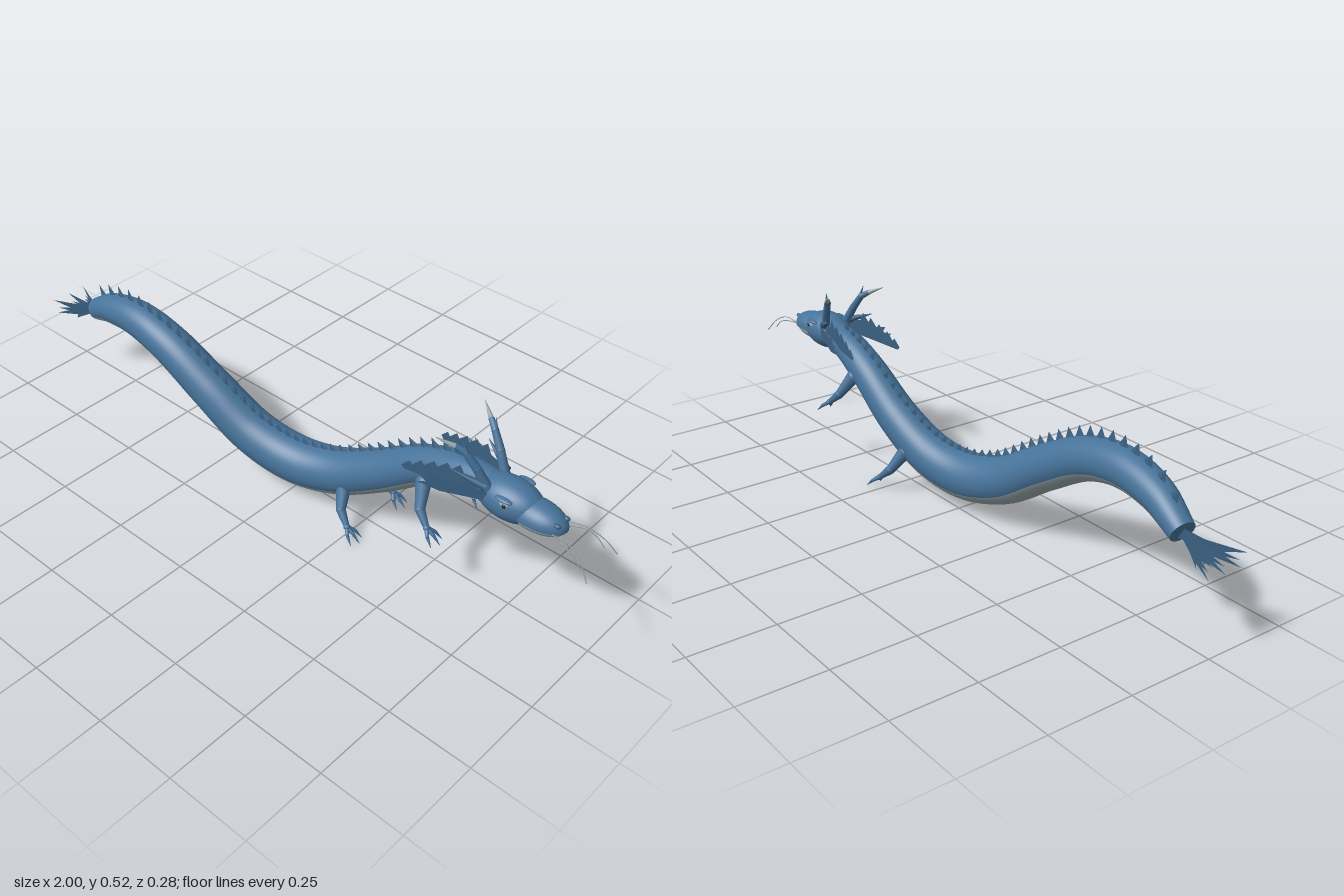
import * as THREE from 'three';

const mat = (name, color, side = THREE.FrontSide) => {
  const m = new THREE.MeshStandardMaterial({ color, side });
  m.name = name;
  return m;
};
const V = (x, y, z) => new THREE.Vector3(x, y, z);

export function createModel() {
  const root = new THREE.Group();
  root.name = 'seaSerpent';
  const blue = mat('scaleBlue', 0x47739a, THREE.DoubleSide);
  const finBlue = mat('finBlue', 0x3a6081, THREE.DoubleSide);
  const pale = mat('bellyGrey', 0x98a8ab, THREE.DoubleSide);
  const dark = mat('pupilDark', 0x16222c);

  const add = (name, geo, material, parent = root) => {
    const m = new THREE.Mesh(geo, material);
    m.name = name;
    parent.add(m);
    return m;
  };
  const ball = (name, material, c, r, parent, t0 = 0, tl = Math.PI) => {
    const m = add(name, new THREE.SphereGeometry(1, 32, 20, 0, Math.PI * 2, t0, tl), material, parent);
    m.position.set(...c);
    m.scale.set(...r);
    return m;
  };
  // Tapered round segment between two points
  const bone = (name, a, b, ra, rb, material, parent) => {
    const d = b.clone().sub(a);
    const m = add(name, new THREE.CylinderGeometry(rb, ra, d.length(), 10), material, parent);
    m.position.copy(a).addScaledVector(d, 0.5);
    m.quaternion.setFromUnitVectors(V(0, 1, 0), d.normalize());
    return m;
  };
  // Thin upright plate drawn in side view, bent sideways by a rule
  const plate = (name, pts, zOf, material, parent) => {
    const g = new THREE.ShapeGeometry(new THREE.Shape(pts.map(p => new THREE.Vector2(...p))));
    const p = g.attributes.position;
    for (let i = 0; i < p.count; i++) p.setZ(i, zOf(p.getX(i), p.getY(i)));
    g.computeVertexNormals();
    return add(name, g, material, parent);
  };

  // Body spine: x, y, z and radius
  const stations = [
    [-0.845, 0.265, 0.045, 0.036], [-0.74, 0.318, 0.062, 0.048], [-0.61, 0.341, 0.072, 0.056],
    [-0.47, 0.315, 0.076, 0.061], [-0.31, 0.232, 0.068, 0.066], [-0.15, 0.138, 0.05, 0.07],
    [0, 0.103, 0.027, 0.072], [0.14, 0.124, 0.004, 0.069], [0.29, 0.2, -0.014, 0.063],
    [0.44, 0.3, -0.019, 0.056], [0.56, 0.349, -0.013, 0.05], [0.68, 0.365, 0, 0.043]];
  const curve = new THREE.CatmullRomCurve3(stations.map(s => V(s[0], s[1], s[2])));
  const radii = new THREE.CatmullRomCurve3(stations.map(s => V(s[0], s[3], 0)));
  const frame = t => {
    const o = curve.getPoint(t), T = curve.getTangent(t);
    const side = T.clone().cross(V(0, 1, 0)).normalize();
    return { o, T, side, up: side.clone().cross(T), r: radii.getPoint(t).y };
  };
  // Sweep of an arc of the round section; angle 0 is the top
  const sweep = (name, a0, a1, cols, material) => {
    const rows = 110, pos = [], nor = [], idx = [];
    for (let i = 0; i <= rows; i++) {
      const f = frame(i / rows);
      for (let j = 0; j <= cols; j++) {
        const a = a0 + (a1 - a0) * j / cols;
        const n = f.up.clone().multiplyScalar(Math.cos(a)).addScaledVector(f.side, Math.sin(a));
        nor.push(n.x, n.y, n.z);
        pos.push(...f.o.clone().addScaledVector(n, f.r).toArray());
        if (i < rows && j < cols) {
          const k = i * (cols + 1) + j, l = k + cols + 1;
          idx.push(k, l, k + 1, l, l + 1, k + 1);
        }
      }
    }
    const g = new THREE.BufferGeometry();
    g.setAttribute('position', new THREE.Float32BufferAttribute(pos, 3));
    g.setAttribute('normal', new THREE.Float32BufferAttribute(nor, 3));
    // Wind faces outward
    for (let i = 0; i < idx.length; i += 3) [idx[i + 1], idx[i + 2]] = [idx[i + 2], idx[i + 1]];
    g.setIndex(idx);
    add(name, g, material);
  };
  const edge = Math.PI * 0.66;
  sweep('back', -edge, edge, 28, blue);
  sweep('belly', edge, Math.PI * 2 - edge, 14, pale);
  const f0 = frame(0);
  const cap = add('tailCap', new THREE.CircleGeometry(f0.r, 32), blue);
  cap.position.copy(f0.o);
  cap.quaternion.setFromUnitVectors(V(0, 0, 1), f0.T.clone().negate());

  // Row of back spines, closer together along the dip
  const spines = new THREE.Group();
  spines.name = 'backSpines';
  root.add(spines);
  const xs = [];
  for (let x = -0.8; x < 0.6;) {
    xs.push(x);
    x += 0.031 + (x < 0 ? 0.038 : 0.03) * x * x;
  }
  for (const x of xs) {
    let lo = 0, hi = 1;
    for (let i = 0; i < 24; i++) {
      const mid = (lo + hi) / 2, f = frame(mid);
      if (f.o.x + f.up.x * f.r < x) lo = mid; else hi = mid;
    }
    const f = frame(lo), h = 0.026 + 0.014 * Math.min(1, Math.abs(x) / 0.6);
    const g = new THREE.ConeGeometry(1, 1, 4);
    const p = g.attributes.position;
    for (let i = 0; i < p.count; i++) if (p.getY(i) > 0.4) p.setX(i, p.getX(i) - 0.5);
    const s = add('spine', g.toNonIndexed(), finBlue, spines);
    s.geometry.computeVertexNormals();
    s.scale.set(0.021, h, 0.006);
    s.quaternion.setFromRotationMatrix(new THREE.Matrix4().makeBasis(f.T, f.up, f.side));
    s.position.copy(f.o).addScaledVector(f.up, f.r + h / 2 - 0.007);
  }

  // Tail fan of three forked blades
  for (const k of [-1, 0, 1]) {
    plate('tailFin', [[-0.83, 0.282], [-0.83, 0.25], [-0.885, 0.232], [-0.925, 0.208], [-0.92, 0.222],
      [-0.99, 0.212], [-0.95, 0.23], [-0.985, 0.232], [-0.945, 0.242], [-1, 0.257], [-0.9, 0.262]],
      x => 0.045 + k * (-0.85 - x) * 0.4, finBlue);
  }

  // Head
  const head = new THREE.Group();
  head.name = 'head';
  root.add(head);
  const zc = 0.004;
  ball('cranium', blue, [0.718, 0.362, zc], [0.1, 0.057, 0.061], head);
  ball('snout', blue, [0.8, 0.35, zc], [0.09, 0.047, 0.052], head, 0, Math.PI * 0.5);
  ball('lowerJaw', pale, [0.795, 0.347, zc], [0.09, 0.033, 0.046], head);

  for (const s of [-1, 1]) {
    const side = new THREE.Group();
    side.name = s > 0 ? 'leftHeadParts' : 'rightHeadParts';
    head.add(side);
    const P = (x, y, z) => V(x, y, zc + s * z);

    // Eye, brow and nostril
    ball('eye', pale, [0.735, 0.383, zc + s * 0.054], [0.014, 0.01, 0.008], side);
    ball('pupil', dark, [0.738, 0.383, zc + s * 0.06], [0.006, 0.006, 0.004], side);
    ball('brow', blue, [0.73, 0.394, zc + s * 0.051], [0.026, 0.006, 0.011], side);
    ball('nostril', finBlue, [0.872, 0.372, zc + s * 0.02], [0.01, 0.006, 0.007], side);

    // Forked horn with pale tip
    const horn = [P(0.672, 0.39, 0.037), P(0.642, 0.445, 0.05), P(0.612, 0.488, 0.062), P(0.59, 0.503, 0.075)];
    const hr = [0.014, 0.012, 0.01, 0.008];
    for (let i = 0; i < 3; i++) {
      bone('horn', horn[i], horn[i + 1], hr[i], hr[i + 1], blue, side);
      ball('hornJoint', blue, horn[i + 1].toArray(), Array(3).fill(hr[i + 1]), side);
    }
    bone('hornTip', horn[3], P(0.545, 0.526, 0.104), 0.008, 0.0006, pale, side);
    bone('hornBranch', P(0.622, 0.472, 0.058), P(0.607, 0.522, 0.068), 0.008, 0.0006, blue, side);

    // Serrated neck frill and cheek fin
    plate('neckFrill', [[0.65, 0.36], [0.44, 0.352], [0.432, 0.362], [0.455, 0.386], [0.463, 0.376],
      [0.488, 0.402], [0.497, 0.39], [0.525, 0.416], [0.535, 0.402], [0.562, 0.428], [0.574, 0.412],
      [0.598, 0.437], [0.612, 0.41], [0.65, 0.4]],
      x => zc + s * (0.05 + (0.65 - x) * 0.16), finBlue, side);
    plate('cheekFin', [[0.68, 0.362], [0.56, 0.348], [0.5, 0.358], [0.525, 0.366], [0.505, 0.382],
      [0.54, 0.38], [0.53, 0.4], [0.575, 0.39], [0.68, 0.392]],
      x => zc + s * (0.052 + (0.68 - x) * 0.3), finBlue, side);
    bone('cheekSpike', P(0.67, 0.398, 0.045), P(0.585, 0.432, 0.082), 0.013, 0.001, finBlue, side);

    // Whiskers
    for (const w of [
      [P(0.868, 0.352, 0.034), P(0.92, 0.358, 0.042), P(0.965, 0.337, 0.055), P(0.999, 0.298, 0.07)],
      [P(0.875, 0.346, 0.028), P(0.915, 0.347, 0.045), P(0.945, 0.335, 0.052), P(0.97, 0.312, 0.053)]])
      add('whisker', new THREE.TubeGeometry(new THREE.CatmullRomCurve3(w), 16, 0.0016, 5), pale, side);
  }

  // Legs: dx, dy place the same limb at both pairs
  for (const [pair, x0, y0, z0] of [['front', 0.46, 0.163, -0.014], ['hind', 0.19, 0.003, -0.008]]) {
    for (const s of [-1, 1]) {
      const leg = new THREE.Group();
      leg.name = pair + (s > 0 ? 'LeftLeg' : 'RightLeg');
      root.add(leg);
      const P = (x, y, z) => V(x0 + x, y0 + y, z0 + s * z);
      const hip = P(0.008, 0.122, 0.05), knee = P(0.03, 0.068, 0.087), foot = P(0.067, 0.034, 0.102);
      ball('hip', blue, hip.toArray(), [0.023, 0.023, 0.018], leg);
      bone('upperLeg', hip, knee, 0.022, 0.014, blue, leg);
      ball('knee', blue, knee.toArray(), [0.014, 0.014, 0.014], leg);
      bone('lowerLeg', knee, foot, 0.014, 0.008, blue, leg);
      ball('foot', blue, foot.toArray(), [0.01, 0.009, 0.01], leg);
      for (const k of [-1, 0, 1]) {
        const mid = P(0.083 + (k ? 0 : 0.008), 0.021, 0.102 + k * 0.016);
        bone('toe', foot, mid, 0.007, 0.005, blue, leg);
        bone('claw', mid, P(0.103 + (k ? 0 : 0.012), 0, 0.102 + k * 0.024), 0.005, 0.0006, blue, leg);
      }
    }
  }
  return root;
}
